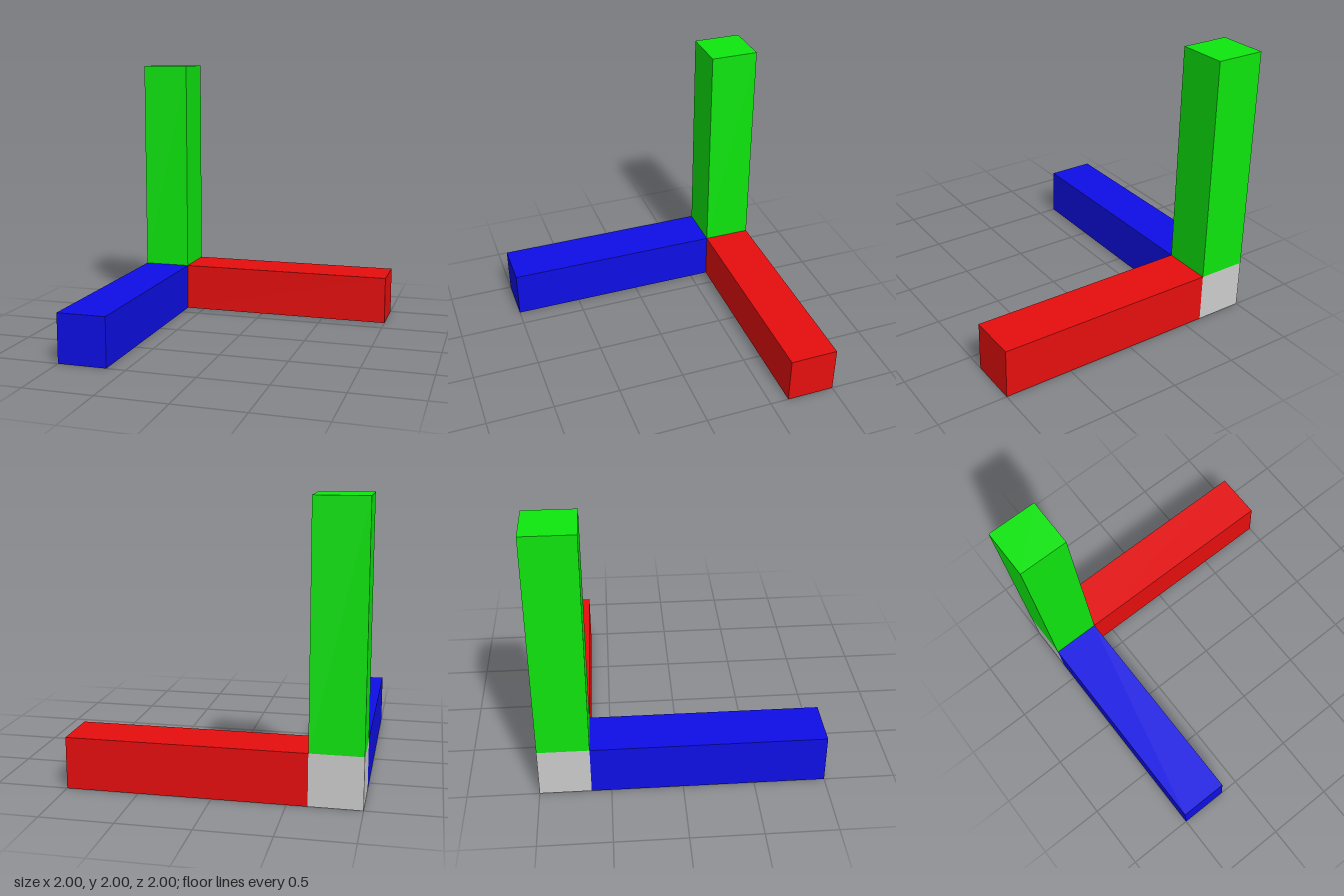
import * as THREE from 'three';

const W = 0.36;          // bar thickness
const L = 2 - W;         // bar length beyond the corner cube

function addBox(group, name, color, size, position) {
  const material = new THREE.MeshStandardMaterial({ color });
  const mesh = new THREE.Mesh(new THREE.BoxGeometry(...size), material);
  mesh.name = name;
  mesh.position.set(...position);
  group.add(mesh);
}

export function createModel() {
  const group = new THREE.Group();
  group.name = 'axisTripod';

  // Corner cube joining the three bars
  const corner = [-1 + W / 2, W / 2, -1 + W / 2];
  addBox(group, 'cornerCube', 0xcccccc, [W, W, W], corner);

  // One bar along each axis, starting at the cube's face
  const bars = [['xAxisBar', 0xe60e0e], ['yAxisBar', 0x0ee60e], ['zAxisBar', 0x0e0ee6]];
  bars.forEach(([name, color], axis) => {
    const size = [W, W, W];
    const position = [...corner];
    size[axis] = L;
    position[axis] += (W + L) / 2;
    addBox(group, name, color, size, position);
  });

  return group;
}
